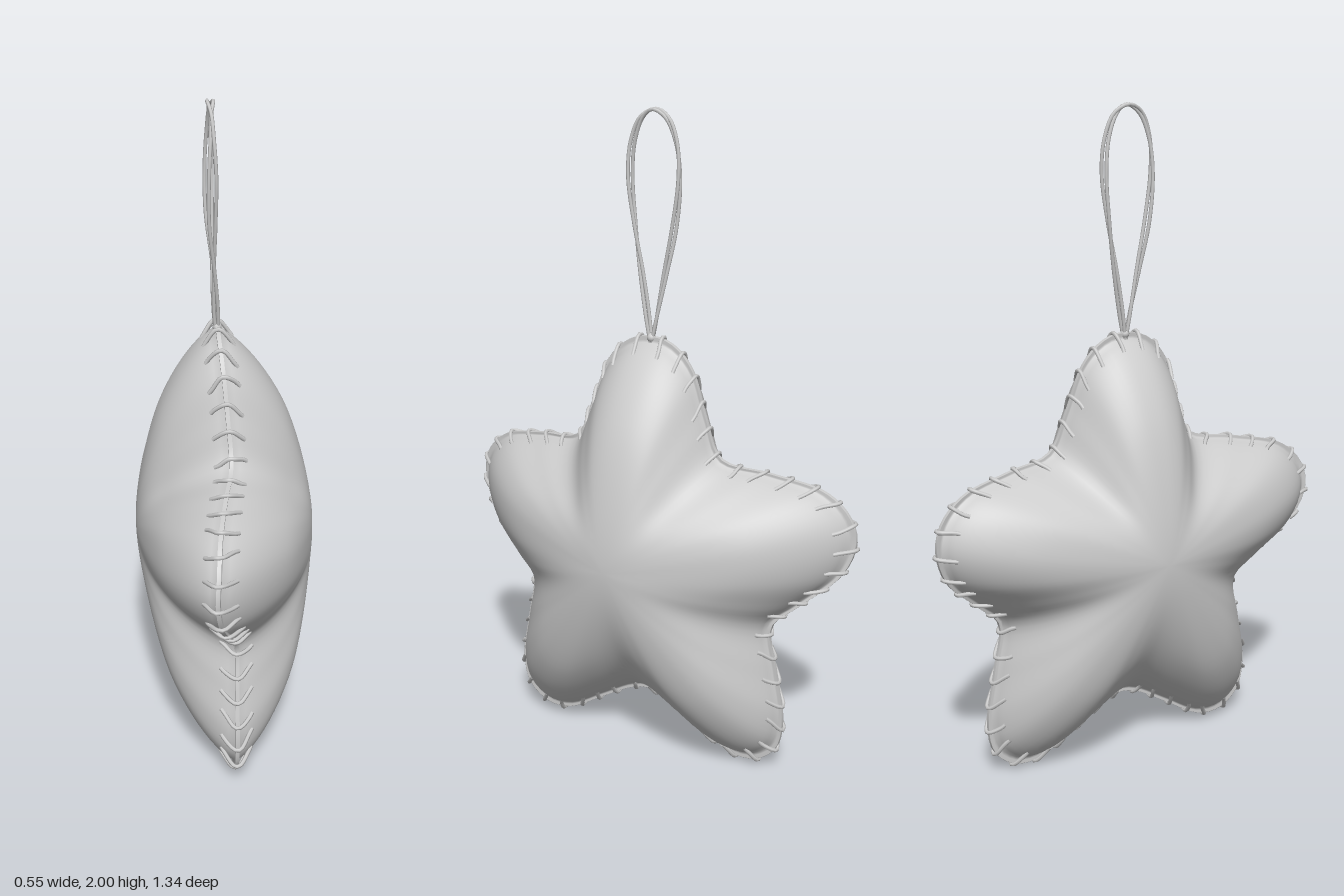
import * as THREE from 'three';
import { mergeVertices, mergeGeometries } from 'three/addons/utils/BufferGeometryUtils.js';

const CY = 0.67; // height of the star's centre

// Half outline of the star: [z, y, sideways bend of the seam]
const HALF = [
  [0.07, 1.315, -0.02], [0.14, 1.25, -0.015], [0.195, 1.11, -0.005], [0.25, 0.99, 0],
  [0.40, 0.96, -0.03], [0.565, 0.92, -0.06], [0.64, 0.85, -0.07], [0.66, 0.77, -0.075],
  [0.625, 0.67, -0.06], [0.51, 0.56, -0.02], [0.43, 0.48, 0], [0.45, 0.33, 0],
  [0.475, 0.17, 0], [0.455, 0.07, 0], [0.385, 0.015, 0], [0.30, 0.015, 0],
  [0.165, 0.09, 0], [0.06, 0.15, 0],
];

function makeOutline() {
  const left = HALF.map(([z, y, x]) => new THREE.Vector3(x, y, z));
  const right = HALF.map(([z, y, x]) => new THREE.Vector3(x, y, -z)).reverse();
  const curve = new THREE.CatmullRomCurve3([
    new THREE.Vector3(-0.02, 1.33, 0), ...left,
    new THREE.Vector3(0, 0.165, 0), ...right,
  ], true);
  curve.arcLengthDivisions = 800;
  return curve;
}

// Point on the cushion: u runs round the outline, t from centre to seam
function surfacePoint(outline, u, t, side, lift = 0) {
  const p = outline.getPointAt(u % 1);
  const dy = p.y - CY, len = Math.hypot(dy, p.z);
  const w = THREE.MathUtils.smoothstep(t, 0, 0.65);
  const r = t * (len * w + 0.5 * (1 - w)) / len; // rings turn from circle to star
  const puff = 0.27 * Math.pow(Math.max(0, 1 - (t / 0.97) ** 2), 0.75) + 0.006;
  return new THREE.Vector3(p.x * t * t + side * (puff + lift), CY + dy * r, p.z * r);
}

function cushionGeometry(outline) {
  const N = 180, K = 26, pos = [], idx = [];
  const rows = [];
  for (let k = 0; k <= K; k++) rows.push([Math.sin(k / K * Math.PI / 2), 1]);
  for (let k = K; k >= 0; k--) rows.push([Math.sin(k / K * Math.PI / 2), -1]);
  for (const [t, side] of rows) {
    for (let i = 0; i < N; i++) pos.push(...surfacePoint(outline, i / N, t, side).toArray());
  }
  for (let r = 0; r < rows.length - 1; r++) {
    for (let i = 0; i < N; i++) {
      const j = (i + 1) % N, a = r * N, b = a + N;
      if (r < rows.length - 2) idx.push(a + i, b + i, b + j);
      if (r > 0) idx.push(a + i, b + j, a + j);
    }
  }
  const g = new THREE.BufferGeometry();
  g.setAttribute('position', new THREE.Float32BufferAttribute(pos, 3));
  g.setIndex(idx);
  const welded = mergeVertices(g, 1e-5);
  welded.computeVertexNormals();
  return welded;
}

// Overcast stitches wrapping the seam from one face to the other
function stitchGeometry(outline) {
  const COUNT = 58, parts = [];
  for (let i = 0; i < COUNT; i++) {
    const u = (i + 0.5) / COUNT;
    const slant = 0.0022 * Math.sin(i * 2.3);
    const path = new THREE.CatmullRomCurve3([
      surfacePoint(outline, u + slant, 0.925, 1, -0.004),
      surfacePoint(outline, u + slant, 0.95, 1, 0.006),
      surfacePoint(outline, u, 1.005, 1, 0.002),
      surfacePoint(outline, u, 1.005, -1, 0.002),
      surfacePoint(outline, u - slant, 0.95, -1, 0.006),
      surfacePoint(outline, u - slant, 0.925, -1, -0.004),
    ]);
    parts.push(new THREE.TubeGeometry(path, 12, 0.0065, 6, false));
  }
  return mergeGeometries(parts);
}

// One strand of the hanging loop; phase sets how it twists about its partner
function strandGeometry(phase) {
  const half = [[0.0, 1.3], [0.014, 1.38], [0.04, 1.52], [0.066, 1.66], [0.081, 1.8],
    [0.072, 1.9], [0.042, 1.97]];
  const at = (z, y) => {
    const k = (y - 1.3) / 0.7;
    const twist = phase + k * 5 * Math.sign(z || 1);
    return new THREE.Vector3(
      -0.02 - 0.018 * Math.min(1, 2 * k) + 0.011 * Math.cos(twist) * Math.min(1, 3 * k + 0.3),
      y, z + 0.005 * Math.sin(twist));
  };
  const pts = [
    ...half.map(([z, y]) => at(z, y)),
    new THREE.Vector3(-0.038 + 0.009 * Math.cos(phase), 1.994, 0),
    ...half.slice().reverse().map(([z, y]) => at(-z, y)),
  ];
  return new THREE.TubeGeometry(new THREE.CatmullRomCurve3(pts), 90, 0.0055, 6, false);
}

export function createModel() {
  const group = new THREE.Group();
  const felt = new THREE.MeshStandardMaterial({ color: 0xcccccc });
  felt.name = 'grey felt';
  const outline = makeOutline();

  const add = (name, geometry) => {
    const mesh = new THREE.Mesh(geometry, felt);
    mesh.name = name;
    group.add(mesh);
  };

  add('starCushion', cushionGeometry(outline));
  add('seamStitches', stitchGeometry(outline));
  add('hangingLoopStrandA', strandGeometry(0));
  add('hangingLoopStrandB', strandGeometry(Math.PI));

  // Small knot where the loop meets the top point
  const knot = new THREE.SphereGeometry(0.014, 12, 8);
  knot.translate(-0.02, 1.325, 0);
  add('loopKnot', knot);
  return group;
}
